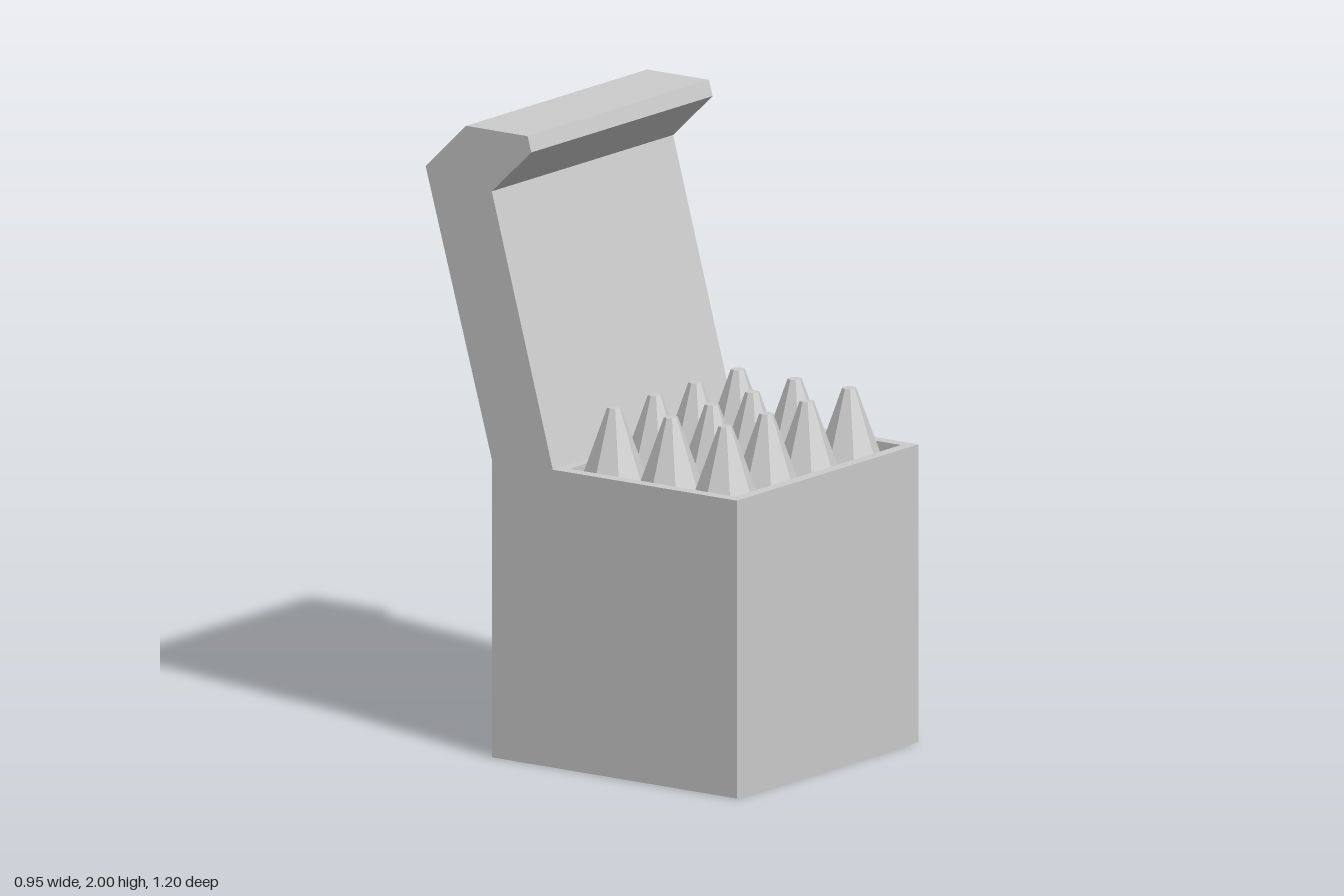
import * as THREE from 'three';

const material = new THREE.MeshStandardMaterial({ color: 0xcccccc, flatShading: true });

function addMesh(parent, name, geometry) {
  const mesh = new THREE.Mesh(geometry, material);
  mesh.name = name;
  parent.add(mesh);
  return mesh;
}

function polygon(points) {
  return new THREE.Shape(points.map(([x, y]) => new THREE.Vector2(x, y)));
}

function rectangle(x0, x1, y0, y1) {
  return [[x0, y0], [x1, y0], [x1, y1], [x0, y1]];
}

export function createModel() {
  const model = new THREE.Group();
  model.name = 'openBox';

  const halfWidth = 0.475, front = 0.6, back = -0.345;
  const floorY = 0.908, rimY = 0.95;

  // Solid body up to the floor of the shallow recess
  const body = addMesh(model, 'body', new THREE.BoxGeometry(halfWidth * 2, floorY, front - back));
  body.position.set(0, floorY / 2, (front + back) / 2);

  // Rim around the recess (shape y becomes -z when laid flat)
  const rimShape = polygon(rectangle(-halfWidth, halfWidth, -front, -back));
  rimShape.holes.push(polygon(rectangle(-0.435, 0.435, -0.562, 0.075)));
  const rimGeometry = new THREE.ExtrudeGeometry(rimShape, { depth: rimY - floorY, bevelEnabled: false });
  rimGeometry.rotateX(-Math.PI / 2);
  addMesh(model, 'rim', rimGeometry).position.y = floorY;

  // Leaning lid with a hooked lip, drawn as a side profile (-z, y)
  const lidShape = polygon([
    [0.11, rimY], [-back, rimY], [0.6, 1.85], [0.445, 2],
    [0.207, 2], [0.193, 1.95], [0.345, 1.805],
  ]);
  const lidGeometry = new THREE.ExtrudeGeometry(lidShape, { depth: halfWidth * 2, bevelEnabled: false });
  lidGeometry.translate(0, 0, -halfWidth).rotateY(Math.PI / 2);
  addMesh(model, 'lid', lidGeometry);

  // Rows of eight-sided tapered spikes standing in the recess
  const spikes = new THREE.Group();
  spikes.name = 'spikes';
  model.add(spikes);
  const spikeTop = 1.14;
  const spikeGeometry = new THREE.CylinderGeometry(0.022, 0.106, spikeTop - floorY, 8);
  for (const z of [0.021, 0.24, 0.45]) {
    for (const x of [-0.332, -0.118, 0.094, 0.316]) {
      addMesh(spikes, 'spike', spikeGeometry).position.set(x, (floorY + spikeTop) / 2, z);
    }
  }

  return model;
}
